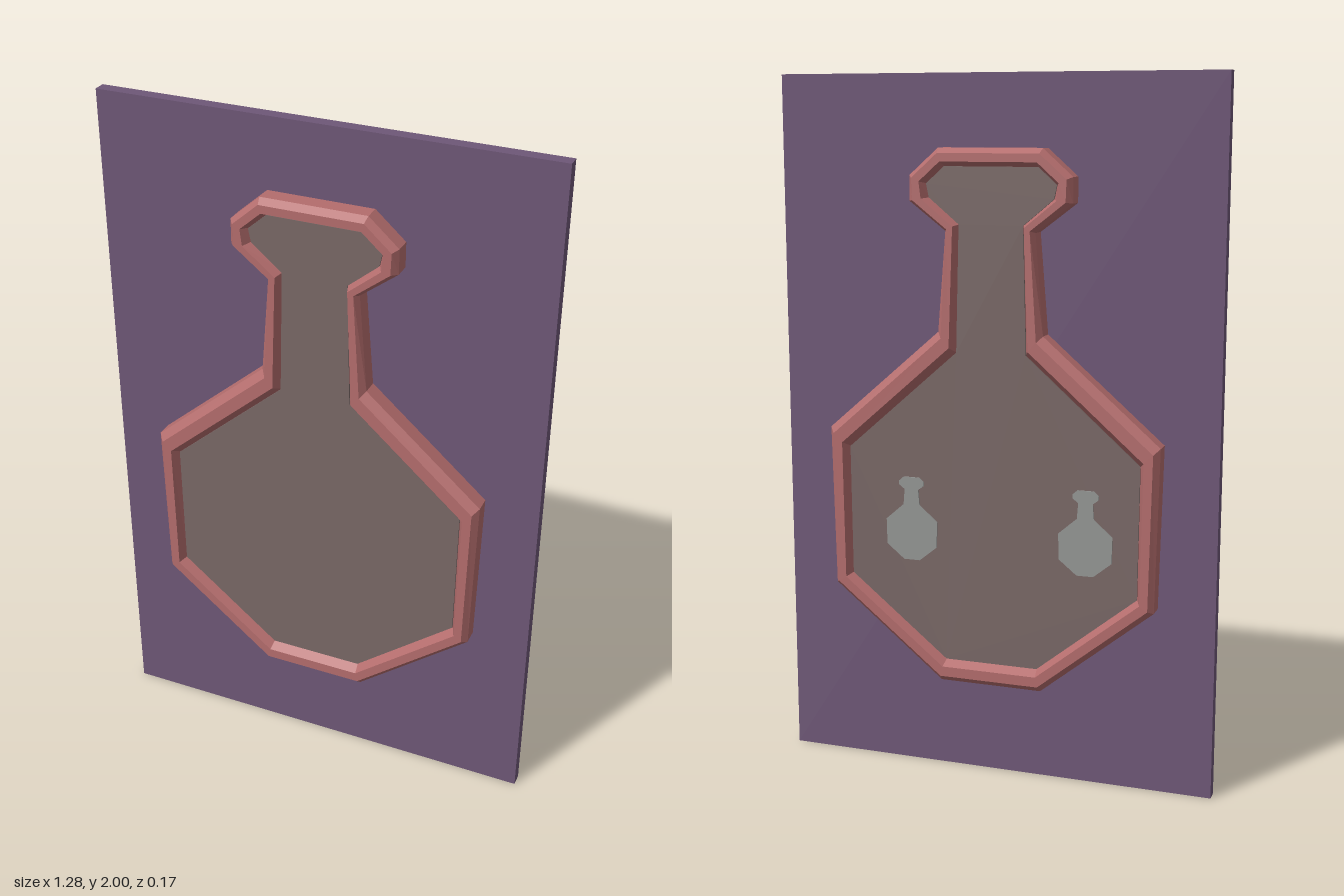
import * as THREE from 'three';

// Right half of the flask silhouette, top to bottom: outer and inner rims
const OUTER = [[0.15, 1.8], [0.235, 1.725], [0.235, 1.655], [0.13, 1.575], [0.153, 1.295], [0.487, 1.005], [0.477, 0.54], [0.15, 0.275]];
const INNER = [[0.135, 1.75], [0.188, 1.703], [0.18, 1.665], [0.093, 1.593], [0.102, 1.238], [0.43, 0.95], [0.427, 0.572], [0.137, 0.338]];

// Mirror a half outline into a closed clockwise loop
const mirror = (half) => [...half, ...half.slice().reverse().map(([x, y]) => [-x, y])];

const toShape = (points) => new THREE.Shape(points.map(([x, y]) => new THREE.Vector2(x, y)));

// Bevelled rim: [blend from outer to inner, z], swept round the silhouette
function rimGeometry() {
  const profile = [[0, -0.065], [0, 0.065], [0.28, 0.085], [0.74, 0.085], [1, 0.055], [1, -0.055], [0.74, -0.085], [0.28, -0.085]];
  const outer = mirror(OUTER), inner = mirror(INNER);
  const n = outer.length, m = profile.length;
  const at = (i, j) => {
    const o = outer[i % n], q = inner[i % n], [t, z] = profile[j % m];
    return [o[0] + (q[0] - o[0]) * t, o[1] + (q[1] - o[1]) * t, z];
  };
  const positions = [];
  for (let i = 0; i < n; i++) {
    for (let j = 0; j < m; j++) {
      const a = at(i, j), b = at(i + 1, j), c = at(i + 1, j + 1), d = at(i, j + 1);
      positions.push(...a, ...d, ...b, ...b, ...d, ...c);
    }
  }
  const geometry = new THREE.BufferGeometry();
  geometry.setAttribute('position', new THREE.Float32BufferAttribute(positions, 3));
  geometry.computeVertexNormals();
  return geometry;
}

// Flat plate centred on z = 0
function plate(points, depth) {
  const geometry = new THREE.ExtrudeGeometry(toShape(points), { depth, bevelEnabled: false });
  return geometry.translate(0, 0, -depth / 2);
}

export function createModel() {
  const material = (name, color) => {
    const m = new THREE.MeshStandardMaterial({ color });
    m.name = name;
    return m;
  };
  const purple = material('dusky purple', 0x6e5777);
  const rose = material('rose', 0xb46d6d);
  const taupe = material('taupe', 0x796866);
  const grey = material('grey', 0x959795);

  const model = new THREE.Group();
  model.name = 'flaskPlaque';
  const add = (name, geometry, mat) => {
    const mesh = new THREE.Mesh(geometry, mat);
    mesh.name = name;
    model.add(mesh);
    return mesh;
  };

  // Upright backing board
  add('board', new THREE.BoxGeometry(1.28, 2, 0.036).translate(0, 1, 0), purple);

  // Flask filling and its raised rim, on both sides of the board
  add('flaskPanel', plate(mirror(INNER), 0.12), taupe);
  add('flaskRim', rimGeometry(), rose);

  // Two small flask marks on the back
  const scale = 0.16;
  for (const x of [0.24, -0.278]) {
    const points = mirror(OUTER).map(([px, py]) => [px * scale, (py - 0.275) * scale]);
    add('smallFlask', plate(points, 0.006), grey).position.set(x, 0.628, -0.061);
  }
  return model;
}
